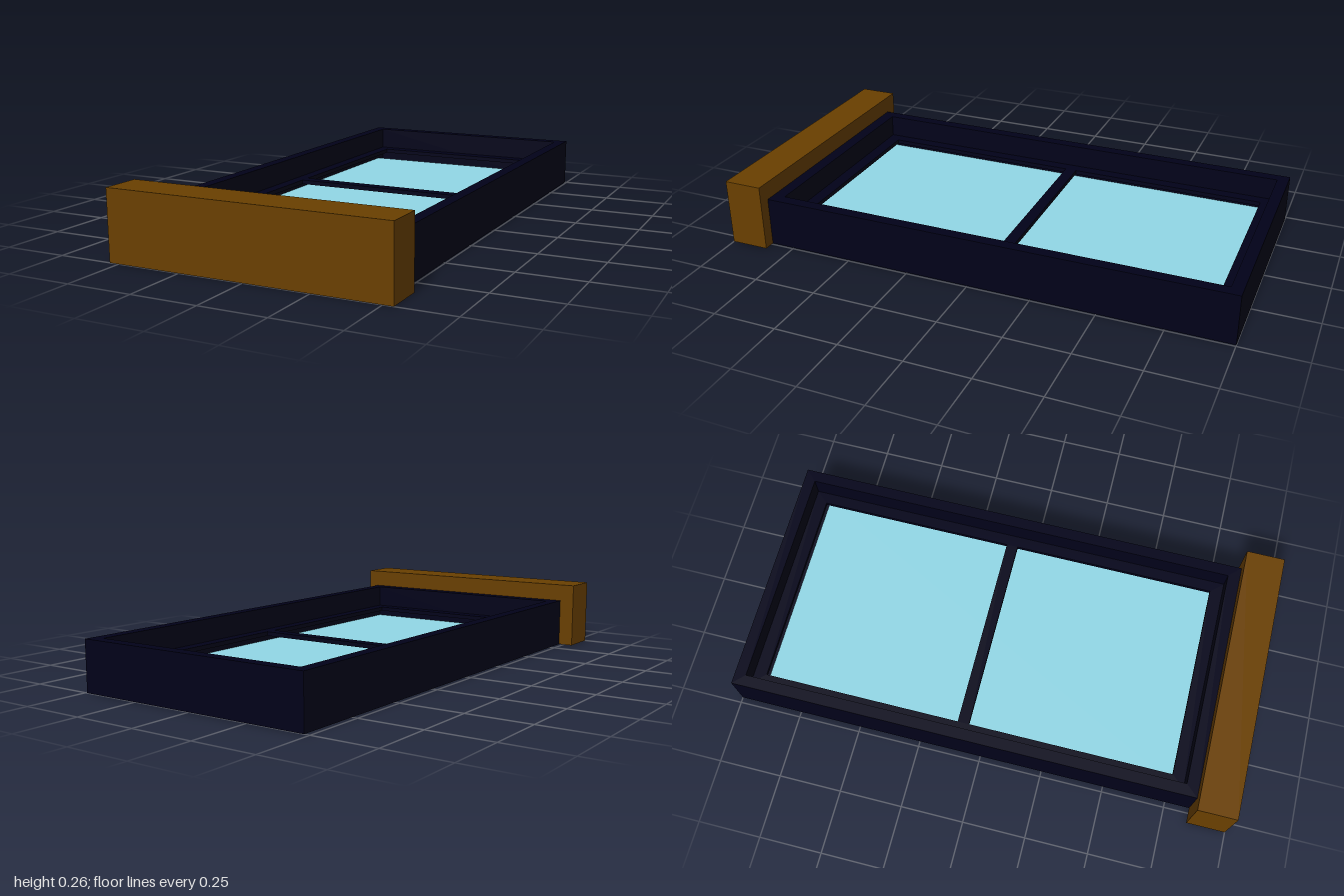
import * as THREE from 'three';

const navy = new THREE.MeshStandardMaterial({ color: 0x010119 });
navy.name = 'dark navy frame';
const brown = new THREE.MeshStandardMaterial({ color: 0x6a4000 });
brown.name = 'brown wood';
const blue = new THREE.MeshStandardMaterial({ color: 0x92d8e7 });
blue.name = 'pale blue glass';

// Box given by its limits on each axis
function box(name, material, [x0, x1], [y0, y1], [z0, z1]) {
  const mesh = new THREE.Mesh(new THREE.BoxGeometry(x1 - x0, y1 - y0, z1 - z0), material);
  mesh.position.set((x0 + x1) / 2, (y0 + y1) / 2, (z0 + z1) / 2);
  mesh.name = name;
  return mesh;
}

// Rectangle corners in the ground plane: outlines run one way round, holes the other
function corners([x0, x1], [z0, z1], isHole) {
  const points = [[x0, z1], [x1, z1], [x1, z0], [x0, z0]].map(([x, z]) => new THREE.Vector2(x, -z));
  return isHole ? points.reverse() : points;
}

// Rectangular ring lying flat, extruded upward from y0 to y1
function ring(name, material, outerX, outerZ, innerX, innerZ, [y0, y1]) {
  const shape = new THREE.Shape(corners(outerX, outerZ, false));
  shape.holes.push(new THREE.Path(corners(innerX, innerZ, true)));
  const geometry = new THREE.ExtrudeGeometry(shape, { depth: y1 - y0, bevelEnabled: false });
  geometry.rotateX(-Math.PI / 2).translate(0, y0, 0);
  const mesh = new THREE.Mesh(geometry, material);
  mesh.name = name;
  return mesh;
}

export function createModel() {
  const group = new THREE.Group();
  group.name = 'window';

  const outerX = [-0.478, 0.492], outerZ = [-1, 0.848];
  const rimX = [-0.433, 0.447], rimZ = [-0.955, 0.8];
  const paneX = [-0.388, 0.402], paneZ = [-0.905, 0.75];
  const sashY = [0.088, 0.105];

  // Outer frame with a closed back
  group.add(ring('outerFrame', navy, outerX, outerZ, rimX, rimZ, [0, 0.195]));
  group.add(box('backPanel', navy, rimX, [0, 0.04], rimZ));

  // Thin sash and crossbar held above the glass
  group.add(ring('sash', navy, rimX, rimZ, paneX, paneZ, sashY));
  group.add(box('crossbar', navy, paneX, sashY, [-0.113, -0.067]));

  // Single sheet of glass reaching under the sash
  group.add(box('glass', blue, rimX, [0.04, 0.058], [paneZ[0], rimZ[1]]));

  // Wooden sill across the front end
  group.add(box('sill', brown, [-0.538, 0.538], [0, 0.265], [0.848, 1]));

  return group;
}
